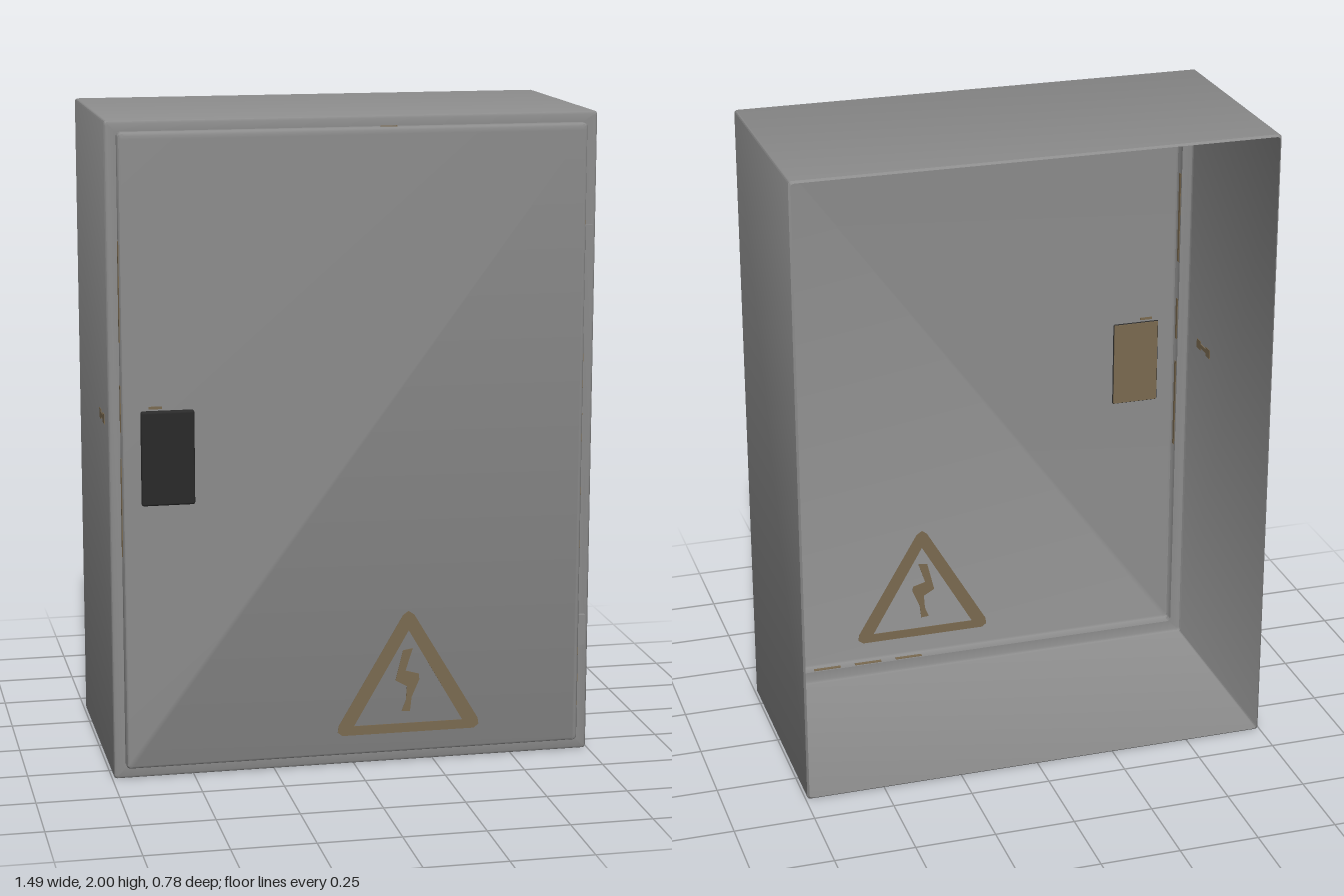
import * as THREE from 'three';
import { toCreasedNormals } from 'three/addons/utils/BufferGeometryUtils.js';
import { RoundedBoxGeometry } from 'three/addons/geometries/RoundedBoxGeometry.js';

const material = (name, color, side = THREE.FrontSide) => {
  const m = new THREE.MeshStandardMaterial({ color, side });
  m.name = name;
  return m;
};

// Outline of a rounded rectangle, counter-clockwise seen from the front
function roundedRect(x0, x1, y0, y1, r, steps = 4) {
  const points = [];
  const corners = [[x1 - r, y1 - r], [x0 + r, y1 - r], [x0 + r, y0 + r], [x1 - r, y0 + r]];
  corners.forEach(([cx, cy], i) => {
    for (let s = 0; s <= steps; s++) {
      const a = (i + s / steps) * Math.PI / 2;
      points.push([cx + r * Math.cos(a), cy + r * Math.sin(a)]);
    }
  });
  return points;
}

// Sheet through rounded-rectangle rings [x0, x1, y0, y1, radius, z], back to front
function loft(rings, capped) {
  const positions = [], index = [];
  const n = roundedRect(0, 1, 0, 1, 0.1).length;
  for (const [x0, x1, y0, y1, r, z] of rings)
    for (const [x, y] of roundedRect(x0, x1, y0, y1, r)) positions.push(x, y, z);
  for (let k = 0; k < rings.length - 1; k++)
    for (let i = 0; i < n; i++) {
      const a = k * n + i, b = k * n + (i + 1) % n;
      index.push(a, b, b + n, a, b + n, a + n);
    }
  if (capped) {
    const last = (rings.length - 1) * n;
    for (let i = 1; i < n - 1; i++) index.push(last, last + i, last + i + 1);
  }
  const g = new THREE.BufferGeometry();
  g.setAttribute('position', new THREE.Float32BufferAttribute(positions, 3));
  g.setIndex(index);
  return toCreasedNormals(g, 0.6);
}

export function createModel() {
  const model = new THREE.Group();
  model.name = 'electricalCabinet';
  const grey = material('greyMetal', 0x8c8c8c, THREE.DoubleSide);
  const black = material('blackPlastic', 0x2a2a2a);
  const tan = material('tanPaint', 0x7a6a50);

  const add = (name, geometry, mat, x = 0, y = 0, z = 0) => {
    const mesh = new THREE.Mesh(geometry, mat);
    mesh.name = name;
    mesh.position.set(x, y, z);
    model.add(mesh);
    return mesh;
  };

  // Housing: thin sheet, open at the back, with a rim around the door opening
  const body = (inset, z) => [-0.745 + inset, 0.745 - inset, inset, 2 - inset, 0.01, z];
  const door = (inset, z) => [-0.71 + inset, 0.705 - inset, 0.04 + inset, 1.968 - inset, 0.012, z];
  add('housing', loft([
    body(0.006, -0.39), body(0, -0.383), body(0, 0.326), body(0.003, 0.332), body(0.009, 0.335),
    door(0, 0.335),
  ]), grey);

  // Door: shallow tray with rounded front edges
  add('door', loft([
    door(0, 0.335), door(0, 0.361), door(0.003, 0.367), door(0.009, 0.37),
  ], true), grey);

  // Hinges: chamfered pins beside the door
  for (const y of [1.612, 0.395]) {
    const h = 0.048, profile = new THREE.Shape();
    profile.moveTo(0.343, -h + 0.015);
    profile.lineTo(0.35, -h);
    profile.lineTo(0.365, -h);
    profile.lineTo(0.365, h);
    profile.lineTo(0.35, h);
    profile.lineTo(0.343, h - 0.015);
    const g = new THREE.ExtrudeGeometry(profile, { depth: 0.022, bevelEnabled: false });
    g.rotateY(-Math.PI / 2);
    add('hinge', g, grey, 0.726, y, 0);
  }

  // Lock handle and its mounting plate inside the door
  add('handle', new RoundedBoxGeometry(0.16, 0.286, 0.022, 3, 0.007), black, -0.575, 1.003, 0.379);
  add('handleBackPlate', new THREE.BoxGeometry(0.15, 0.276, 0.004), tan, -0.575, 1.003, 0.367);

  // Warning sign, showing on both faces of the door
  const path = (Type, pts) => new Type(pts.map(([x, y]) => new THREE.Vector2(x, y)));
  const triangle = path(THREE.Shape, [
    [-0.045, 0.103], [0.37, 0.103], [0.386, 0.115], [0.383, 0.135],
    [0.18, 0.477], [0.162, 0.489], [0.145, 0.477], [-0.056, 0.135], [-0.059, 0.115],
  ]);
  triangle.holes.push(path(THREE.Path, [[-0.008, 0.132], [0.163, 0.428], [0.334, 0.132]]));
  const bolt = path(THREE.Shape, [
    [0.145, 0.365], [0.122, 0.27], [0.158, 0.25], [0.155, 0.205], [0.142, 0.172],
    [0.168, 0.17], [0.173, 0.215], [0.197, 0.27], [0.195, 0.288], [0.153, 0.3], [0.176, 0.37],
  ]);
  for (const [name, shape] of [['warningTriangle', triangle], ['warningBolt', bolt]])
    add(name, new THREE.ExtrudeGeometry(shape, { depth: 0.004, bevelEnabled: false }), tan, 0, 0, 0.368);

  // Worn paint along the door edges: [centre, length]
  const patch = (x, y, z, w, h, d) => add('wornPaint', new THREE.BoxGeometry(w, h, d), tan, x, y, z);
  for (const [y, len] of [[0.25, 0.2], [0.64, 0.09], [0.82, 0.09], [1.2, 0.14], [1.03, 0.1], [1.64, 0.18]])
    patch(0.705, y, 0.349, 0.004, len, 0.014);
  for (const [y, len] of [[1.5, 0.3], [1.15, 0.14], [0.85, 0.3]])
    patch(-0.71, y, 0.349, 0.004, len, 0.014);
  for (const x of [0.5, 0.36, 0.22]) patch(x, 0.04, 0.346, 0.09, 0.004, 0.012);
  patch(0.1, 1.968, 0.346, 0.05, 0.004, 0.012);
  patch(-0.61, 1.154, 0.37, 0.04, 0.008, 0.004);

  // Small painted mark on the right side wall
  for (const z of [0.15, 0.23]) patch(-0.745, 1.1, z, 0.004, 0.03, 0.035);
  patch(-0.745, 1.1, 0.19, 0.004, 0.014, 0.06);

  return model;
}
